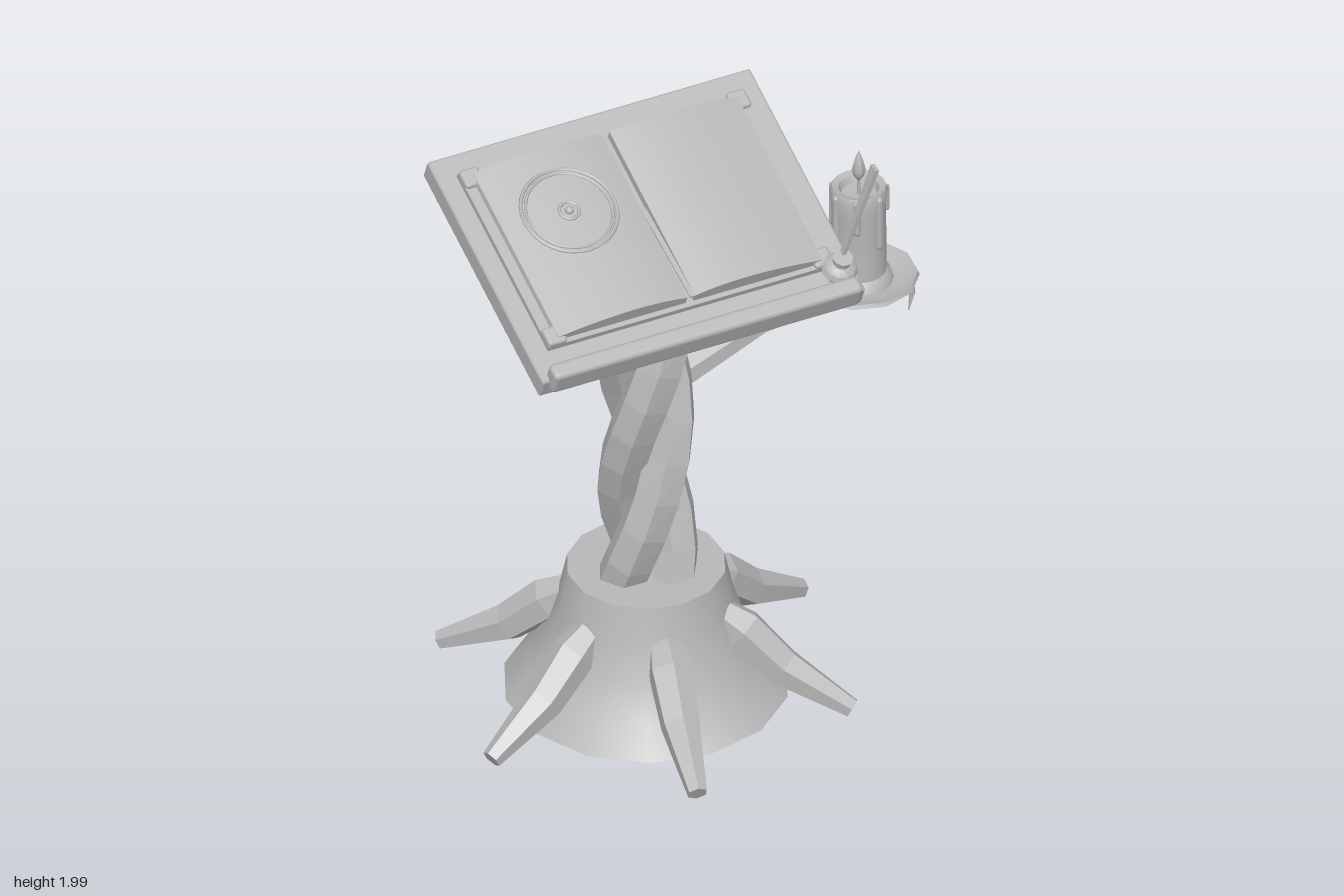
import * as THREE from 'three';
import { toCreasedNormals } from 'three/addons/utils/BufferGeometryUtils.js';
import { RoundedBoxGeometry } from 'three/addons/geometries/RoundedBoxGeometry.js';

const V = (x, y, z) => new THREE.Vector3(x, y, z);
const CX = -0.13; // axis of the stand

// Faceted limb with a radius at every path point and closed ends
function limb(path, radii, sides = 6) {
  const n = path.length, pos = [], idx = [];
  const dir = path[n - 1].clone().sub(path[0]).normalize();
  const ref = Math.abs(dir.y) > 0.8 ? V(1, 0, 0) : V(0, 1, 0);
  path.forEach((p, i) => {
    const t = path[Math.min(i + 1, n - 1)].clone().sub(path[Math.max(i - 1, 0)]).normalize();
    const u = ref.clone().addScaledVector(t, -ref.dot(t)).normalize();
    const w = t.clone().cross(u);
    for (let j = 0; j < sides; j++) {
      const a = (j / sides) * Math.PI * 2;
      const q = p.clone().addScaledVector(u, radii[i] * Math.cos(a)).addScaledVector(w, radii[i] * Math.sin(a));
      pos.push(q.x, q.y, q.z);
    }
  });
  for (let i = 0; i < n - 1; i++) {
    for (let j = 0; j < sides; j++) {
      const k = (j + 1) % sides;
      const a = i * sides + j, b = i * sides + k;
      idx.push(a, b, b + sides, a, b + sides, a + sides);
    }
  }
  const e = (n - 1) * sides;
  for (let j = 1; j < sides - 1; j++) idx.push(0, j + 1, j, e, e + j, e + j + 1);
  const g = new THREE.BufferGeometry();
  g.setAttribute('position', new THREE.Float32BufferAttribute(pos, 3));
  g.setIndex(idx);
  const flat = g.toNonIndexed();
  flat.computeVertexNormals();
  return flat;
}

const lathe = (pts, seg) =>
  toCreasedNormals(new THREE.LatheGeometry(pts.map(([r, y]) => new THREE.Vector2(r, y)), seg), 0.75);

export function createModel() {
  const model = new THREE.Group();
  model.name = 'lectern';
  const grey = new THREE.MeshStandardMaterial({ color: 0xb8b8b8 });
  grey.name = 'grey';
  const add = (parent, name, geo, x = 0, y = 0, z = 0) => {
    const m = new THREE.Mesh(geo, grey);
    m.name = name;
    m.position.set(x, y, z);
    parent.add(m);
    return m;
  };

  // Flared stump
  add(model, 'stump', lathe([[0, 0.015], [0.445, 0.015], [0.37, 0.11], [0.315, 0.21], [0.275, 0.33],
    [0.248, 0.455], [0, 0.455]], 14), CX, 0, 0);

  // Six roots
  for (let i = 0; i < 6; i++) {
    const a = ((43 + 60 * i) * Math.PI) / 180;
    const at = (r, y) => V(CX + Math.cos(a) * r, y, Math.sin(a) * r);
    add(model, 'root', limb([at(0.24, 0.31), at(0.31, 0.265), at(0.44, 0.15), at(0.66, 0.038)],
      [0.055, 0.072, 0.064, 0.032]));
  }

  // Three twisted trunk strands
  for (let s = 0; s < 3; s++) {
    const path = [], radii = [];
    for (let i = 0; i <= 10; i++) {
      const y = 0.4 + i * 0.12;
      const a = Math.PI / 2 - ((y - 0.76) / 1.4) * Math.PI * 2 + (s * Math.PI * 2) / 3;
      const r = 0.076 + 0.06 * (y - 0.95) ** 2;
      path.push(V(CX + Math.cos(a) * r, y, Math.sin(a) * r));
      radii.push(0.08);
    }
    add(model, 'trunkStrand', limb(path, radii));
  }

  // Pegs under the desk
  for (const s of [-1, 1]) {
    add(model, 'supportPeg', limb([V(CX + s * 0.17, 1.68, -0.09), V(CX + s * 0.33, 1.575, -0.38)], [0.03, 0.03]));
  }

  // Tilted desk and everything lying on it
  const desk = new THREE.Group();
  desk.name = 'desk';
  desk.position.set(CX, 1.69, -0.012);
  desk.rotation.x = 0.405;
  model.add(desk);
  add(desk, 'deskBoard', new RoundedBoxGeometry(1.115, 0.078, 0.86, 1, 0.01));
  add(desk, 'deskLedge', new RoundedBoxGeometry(1.065, 0.095, 0.06, 2, 0.018), 0, 0.043, 0.425);

  // Open book
  add(desk, 'bookCover', new THREE.BoxGeometry(0.985, 0.022, 0.676), 0, 0.049, -0.012);
  for (const x of [-0.46, 0.46]) {
    for (const z of [-0.318, 0.294]) {
      add(desk, 'coverCorner', new RoundedBoxGeometry(0.066, 0.042, 0.066, 2, 0.012), x, 0.055, z);
    }
  }
  for (const s of [-1, 1]) {
    const shape = new THREE.Shape();
    shape.moveTo(s * 0.013, 0.055);
    shape.lineTo(s * 0.013, 0.088);
    shape.bezierCurveTo(s * 0.12, 0.117, s * 0.25, 0.122, s * 0.455, 0.078);
    shape.lineTo(s * 0.46, 0.055);
    const g = new THREE.ExtrudeGeometry(shape, { depth: 0.635, bevelEnabled: false, curveSegments: 10 });
    add(desk, s < 0 ? 'rightPages' : 'leftPages', toCreasedNormals(g, 0.5), 0, 0, -0.325);
  }
  // Ribbon in the gutter
  add(desk, 'ribbon', new THREE.BoxGeometry(0.016, 0.006, 0.34), 0, 0.085, 0.14).rotation.y = 0.03;

  // Round emblem on the page
  for (const [r, t] of [[0.152, 0.006], [0.137, 0.005], [0.031, 0.006]]) {
    const g = new THREE.TorusGeometry(r, t, 6, 32);
    g.rotateX(Math.PI / 2);
    add(desk, 'emblemRing', g, -0.24, 0.109, -0.088);
  }
  add(desk, 'emblemStud', new THREE.SphereGeometry(0.015, 10, 6), -0.24, 0.11, -0.088);

  // Ink pot and quill
  add(desk, 'inkPot', lathe([[0, 0], [0.045, 0], [0.058, 0.022], [0.05, 0.044], [0.028, 0.058],
    [0.026, 0.075], [0.032, 0.085], [0, 0.085]], 12), 0.5, 0.037, 0.345);
  const quillGeo = new THREE.BoxGeometry(0.014, 0.36, 0.03, 1, 2, 1);
  const qp = quillGeo.attributes.position;
  for (let i = 0; i < qp.count; i++) {
    const up = (qp.getY(i) + 0.18) / 0.36;
    qp.setZ(i, qp.getZ(i) * (0.6 + 0.5 * up));
  }
  quillGeo.computeVertexNormals();
  const quill = add(model, 'quill', quillGeo, 0.418, 1.825, 0.362);
  quill.quaternion.setFromUnitVectors(V(0, 1, 0), V(0.09, 0.35, 0.055).normalize());

  // Branch carrying the candle
  add(model, 'branch', limb([V(-0.02, 1.07, -0.06), V(0.02, 1.095, -0.05), V(0.27, 1.235, -0.01), V(0.56, 1.278, 0.03)],
    [0.052, 0.05, 0.044, 0.032]));

  // Candle dish, candle and flame
  const candle = new THREE.Group();
  candle.name = 'candleHolder';
  candle.position.set(0.583, 0, 0.04);
  model.add(candle);
  const dishGeo = lathe([[0, 1.295], [0.125, 1.295], [0.142, 1.305], [0.188, 1.335], [0.182, 1.347],
    [0.13, 1.328], [0, 1.328]], 11);
  add(candle, 'dish', dishGeo);
  add(candle, 'dishDrip', limb([V(0.165, 1.335, 0), V(0.175, 1.27, 0), V(0.185, 1.21, 0), V(0.172, 1.15, 0)],
    [0.014, 0.013, 0.01, 0.002], 5));
  add(candle, 'candleWax', lathe([[0, 1.32], [0.108, 1.325], [0.102, 1.35], [0.086, 1.365], [0.084, 1.6],
    [0.09, 1.66], [0.084, 1.675], [0.064, 1.668], [0.055, 1.645], [0, 1.64]], 16));
  [0.07, 0.17, 0.1, 0.2, 0.13, 0.08, 0.15].forEach((len, i) => {
    const a = i * 0.9 + 0.3;
    add(candle, 'waxDrip', new THREE.CapsuleGeometry(0.013, len, 3, 6),
      Math.cos(a) * 0.084, 1.655 - len / 2, Math.sin(a) * 0.084);
  });
  add(candle, 'wick', new THREE.CylinderGeometry(0.006, 0.006, 0.08, 6), 0, 1.675, 0);
  add(candle, 'flame', lathe([[0, 1.69], [0.016, 1.71], [0.023, 1.735], [0.014, 1.77], [0, 1.805]], 7));
  return model;
}
